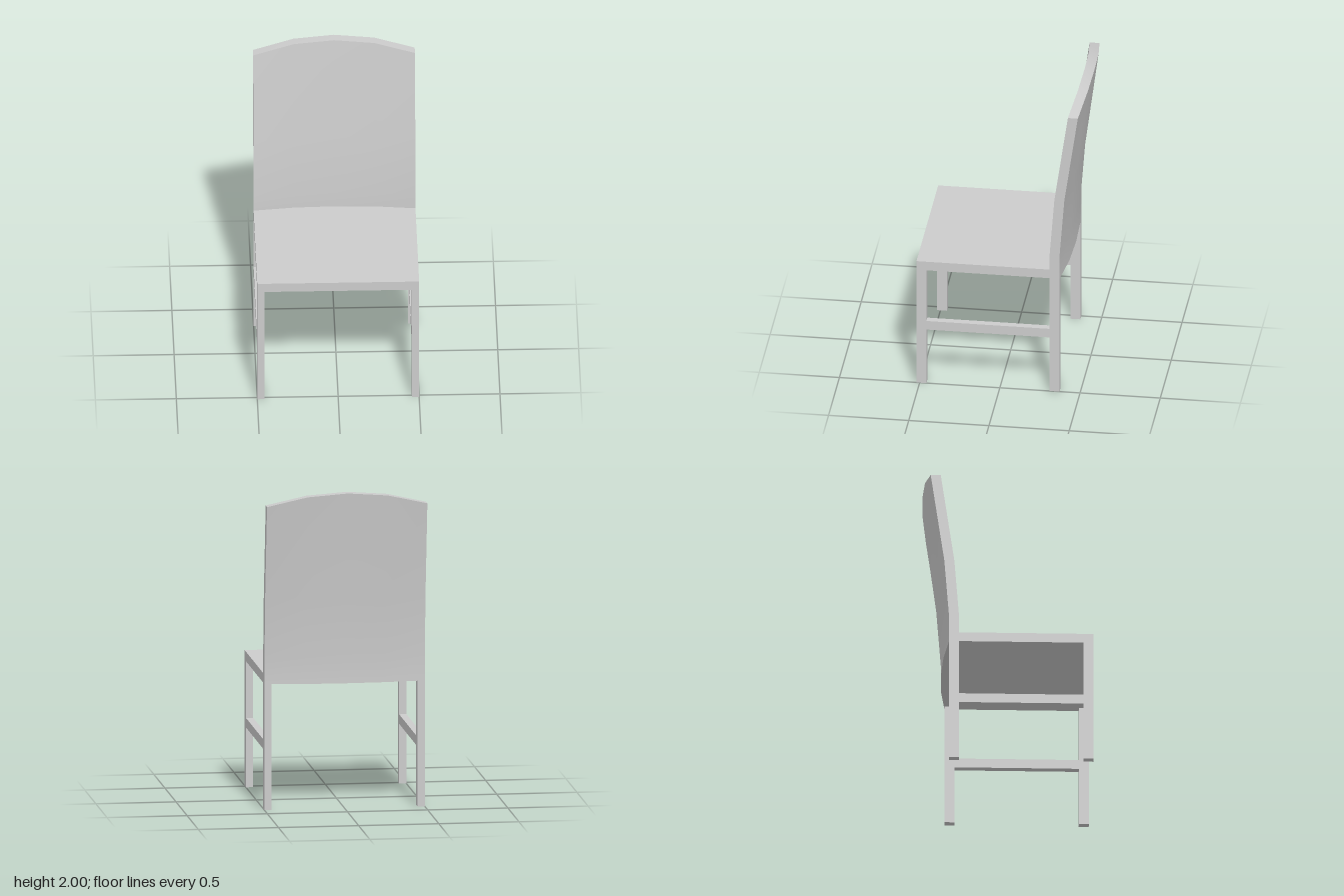
import * as THREE from 'three';

export function createModel() {
  const chair = new THREE.Group();
  chair.name = 'chair';
  const material = new THREE.MeshStandardMaterial({ color: 0xcccccc });

  const add = (name, geometry) => {
    const mesh = new THREE.Mesh(geometry, material);
    mesh.name = name;
    chair.add(mesh);
    return mesh;
  };
  const box = (name, x, y0, y1, z0, z1, width) =>
    add(name, new THREE.BoxGeometry(width, y1 - y0, z1 - z0))
      .position.set(x, (y0 + y1) / 2, (z0 + z1) / 2);

  // Move every vertex of a segmented box by a rule
  const reshape = (geometry, rule) => {
    const p = geometry.attributes.position;
    for (let i = 0; i < p.count; i++) p.setXYZ(i, ...rule(p.getX(i), p.getY(i), p.getZ(i)));
    geometry.computeVertexNormals();
    return geometry;
  };

  // Values for the five columns across the width, by distance from the middle
  const bow = [0.036, 0.028, 0];
  const crown = [2, 1.98, 1.92];
  const column = (x) => Math.round(Math.abs(x) * 4);

  const seatBottom = 0.79, seatTop = 0.85, backFront = -0.31, frontEdge = 0.52;
  const legDepth = 0.062, legWidth = 0.045, legX = 0.5 - legWidth / 2;

  // Seat, its rear edge bowed to meet the backrest
  add('seat', reshape(new THREE.BoxGeometry(1, seatTop - seatBottom, 1, 4, 1, 1), (x, y, z) =>
    [x, y + (seatBottom + seatTop) / 2, z > 0 ? frontEdge : backFront - bow[column(x)]]));

  // Backrest: curved across, leaning back, with a crowned top
  const rows = [[seatBottom, backFront], [0.95, backFront], [1.34, -0.34], [1.92, -0.424]];
  add('backrest', reshape(new THREE.BoxGeometry(1, 1, 1, 4, 3, 1), (x, y, z) => {
    const row = Math.round((y + 0.5) * 3);
    const [height, front] = rows[row];
    const c = column(x);
    return [x, row === 3 ? crown[c] : height, front - bow[c] - (z < 0 ? legDepth : 0)];
  }));

  // Legs and side stretchers
  for (const [side, s] of [['left', 1], ['right', -1]]) {
    box(side + 'FrontLeg', s * legX, 0, seatBottom, frontEdge - legDepth, frontEdge, legWidth);
    box(side + 'BackLeg', s * legX, 0, seatBottom, backFront - legDepth, backFront, legWidth);
    box(side + 'Stretcher', s * legX, 0.375, 0.435, backFront, frontEdge - legDepth, legWidth);
  }
  return chair;
}
